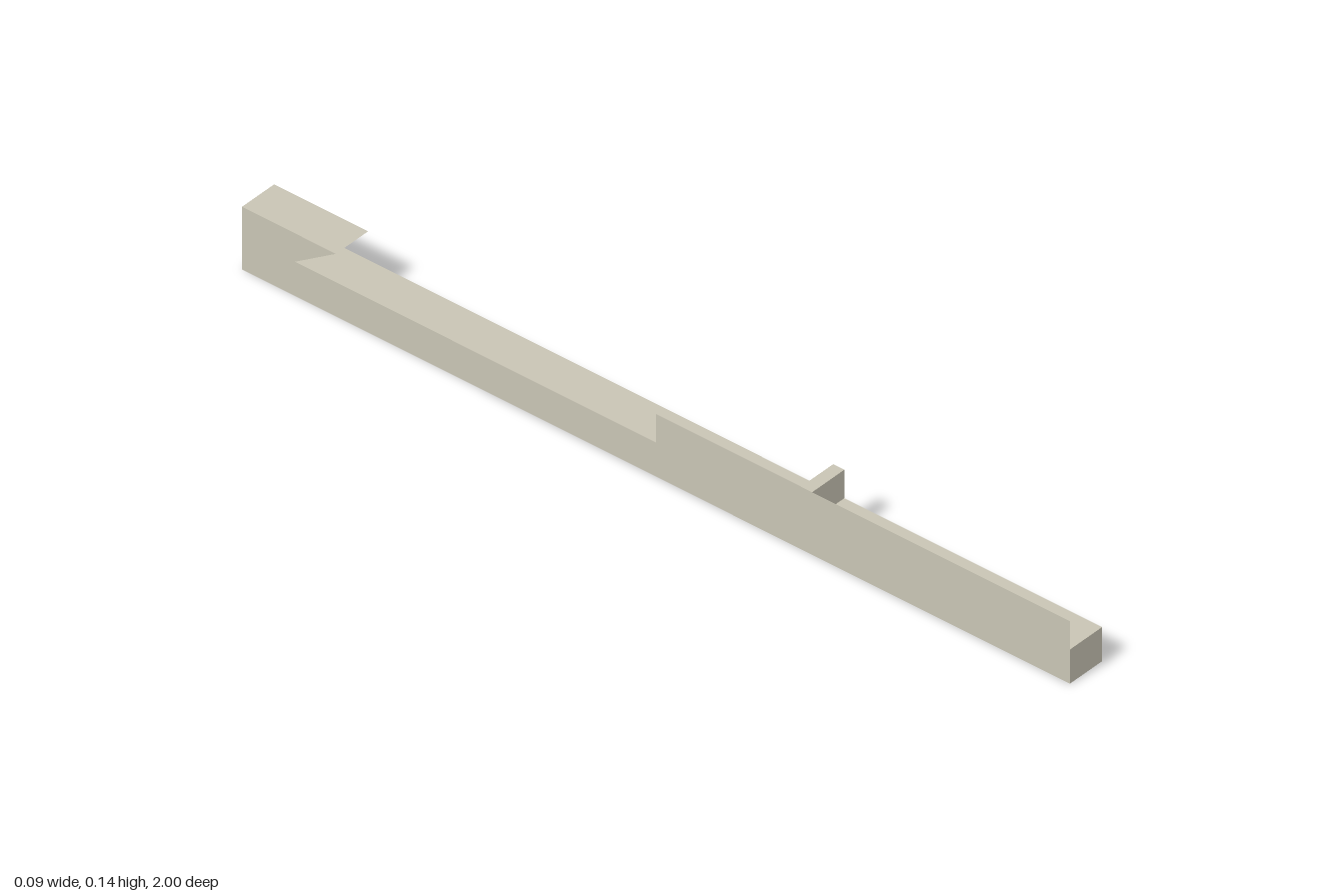
import * as THREE from 'three';

const HALF_W = 0.046, DECK = 0.078, TOP = 0.143;

export function createModel() {
  const group = new THREE.Group();
  const stone = new THREE.MeshStandardMaterial({ color: 0xc8c4b4, side: THREE.DoubleSide });
  stone.name = 'warm grey';

  const add = (name, geometry, x = 0, y = 0, z = 0) => {
    const mesh = new THREE.Mesh(geometry, stone);
    mesh.name = name;
    mesh.position.set(x, y, z);
    group.add(mesh);
  };

  // Long beam with an undercut hook at the back, drawn as (-z, y) and extruded across x
  const profile = new THREE.Shape([
    [-1, 0], [1, 0], [1, TOP], [0.773, TOP], [0.872, DECK], [-1, DECK],
  ].map(([u, v]) => new THREE.Vector2(u, v)));
  const beam = new THREE.ExtrudeGeometry(profile, { depth: 2 * HALF_W, bevelEnabled: false });
  beam.rotateY(Math.PI / 2);
  add('hookedBeam', beam, -HALF_W);

  // Thin upright fence along the front half of one side
  const wallH = TOP - DECK, midY = (TOP + DECK) / 2;
  const fence = new THREE.PlaneGeometry(1, wallH);
  fence.rotateY(-Math.PI / 2);
  add('sideFence', fence, -HALF_W, midY, 0.5);

  // Cross stop standing on the beam
  add('crossStop', new THREE.BoxGeometry(2 * HALF_W, wallH, 0.027), 0, midY, 0.364);

  return group;
}
